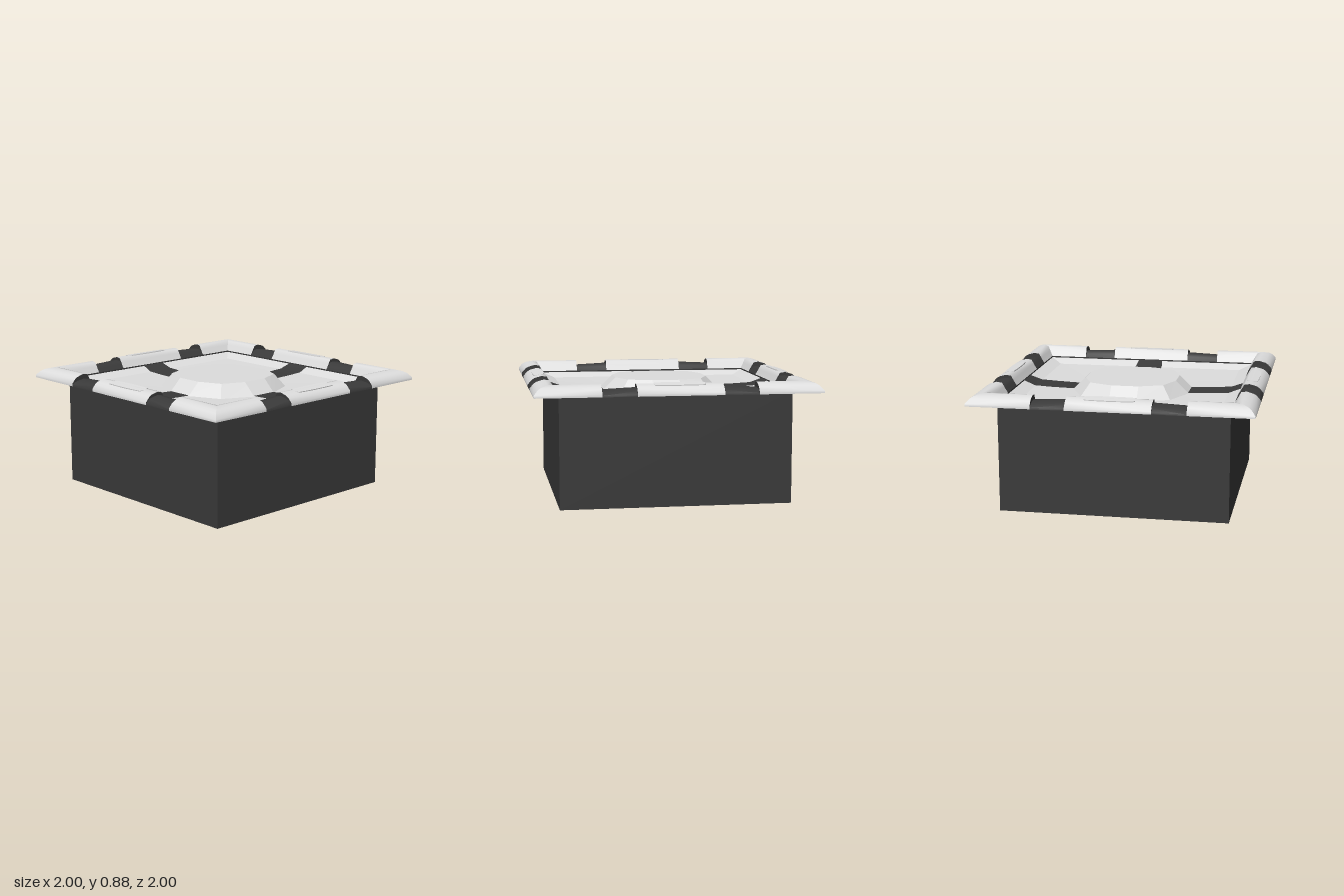
import * as THREE from 'three';
import { toCreasedNormals } from 'three/addons/utils/BufferGeometryUtils.js';

const light = new THREE.MeshStandardMaterial({ color: 0xdddddd, side: THREE.DoubleSide });
light.name = 'lightGrey';
const dark = new THREE.MeshStandardMaterial({ color: 0x3a3a3a, side: THREE.DoubleSide });
dark.name = 'charcoal';

const BASE = 0.8, WALL = 0.82;

// rim profile: [distance from centre, height above the wall top], outside to inside
const RIM = [[1, 0], [1, 0.018], [0.972, 0.05], [0.95, 0.064], [0.9, 0.078], [0.862, 0.072], [0.845, 0.042], [0.82, 0]];

// joins cross-sections of equal length into a skin; cap closes the last one
function skin(sections, { cap = false, crease = 0.9 } = {}) {
  const n = sections[0].length, last = (sections.length - 1) * n, idx = [];
  for (let s = 0; s < sections.length - 1; s++) {
    for (let i = 0; i < n - 1; i++) {
      const a = s * n + i;
      idx.push(a, a + n, a + 1, a + 1, a + n, a + n + 1);
    }
  }
  if (cap) for (let i = 1; i < n - 1; i++) idx.push(last, last + i, last + i + 1);
  const g = new THREE.BufferGeometry();
  g.setAttribute('position', new THREE.Float32BufferAttribute(sections.flat(2), 3));
  g.setIndex(idx);
  return toCreasedNormals(g, crease);
}

// rim section at a position along the side; a corner section is mitred
const rimSection = (along, scale = 1) => RIM.map(([d, h]) => [along, BASE + h * scale, d]);
const mitre = sign => RIM.map(([d, h]) => [sign * d, BASE + h, d]);

// horizontal twelve-point ring: side points at (a, ±b), corner points at (c, c)
function ring(a, b, c, y) {
  const points = [];
  for (let q = 0; q < 4; q++) {
    const cos = [1, 0, -1, 0][q], sin = [0, 1, 0, -1][q];
    for (const [x, z] of [[a, -b], [a, b], [c, c]]) points.push([x * cos - z * sin, y, x * sin + z * cos]);
  }
  return [...points, points[0]];
}

function add(parent, name, geometry, material) {
  const mesh = new THREE.Mesh(geometry, material);
  mesh.name = name;
  parent.add(mesh);
}

function buildSide() {
  const side = new THREE.Group();
  add(side, 'rimMiddle', skin([rimSection(-0.3), rimSection(0.3)]), light);
  for (const s of [-1, 1]) {
    add(side, 'rimCorner', skin([rimSection(s * 0.54), mitre(s)]), light);
    // lower dark link with end walls stepping up to the light pieces
    add(side, 'rimStrap', skin([
      rimSection(s * 0.3), rimSection(s * 0.3, 0.7), rimSection(s * 0.54, 0.55), rimSection(s * 0.54),
    ]), dark);
  }

  // slim grip with bowed edges, leaning with the top of the rim
  const grip = new THREE.Shape();
  grip.moveTo(-0.17, -0.035);
  grip.quadraticCurveTo(0, -0.048, 0.17, -0.035);
  grip.quadraticCurveTo(0.19, 0, 0.17, 0.037);
  grip.quadraticCurveTo(0, 0.047, -0.17, 0.037);
  grip.quadraticCurveTo(-0.19, 0, -0.17, -0.035);
  const plate = new THREE.ExtrudeGeometry(grip, { depth: 0.008, bevelEnabled: false, curveSegments: 6 });
  plate.rotateX(Math.PI / 2 + 0.14);
  plate.translate(0, BASE + 0.076, 0.91);
  add(side, 'grip', plate, light);

  // thin arm lying on the tray from the centre cap to the wall
  const arm = [[0.42, 0.1, 0.749], [0.6, 0.105, 0.755], [0.73, 0.105, 0.762], [0.818, 0.095, 0.795]];
  add(side, 'crossArm', skin(arm.map(([z, w, y]) => [[-w, y, z], [w, y, z]])), dark);
  return side;
}

export function createModel() {
  const model = new THREE.Group();
  model.name = 'squareHatch';

  // open square curb
  const walls = new THREE.CylinderGeometry(WALL * Math.SQRT2, WALL * Math.SQRT2, BASE, 4, 1, true);
  walls.rotateY(Math.PI / 4);
  walls.translate(0, BASE / 2, 0);
  add(model, 'curbWalls', toCreasedNormals(walls, 0.3), dark);

  // sagging tray: sloped border, then a shallow fall to the centre cap
  const capFoot = ring(0.435, 0.1, 0.33, 0.745);
  add(model, 'tray', skin([
    ring(WALL, 0.19, WALL, 0.79), ring(0.73, 0.168, 0.73, 0.757), capFoot,
  ], { crease: 0.2 }), light);

  // twelve-sided raised cap, hollow underneath
  add(model, 'centreCap', skin([capFoot, ring(0.34, 0.1, 0.27, 0.838)], { cap: true, crease: 0.1 }), light);

  // four matching sides
  for (let i = 0; i < 4; i++) {
    const side = buildSide();
    side.name = ['frontSide', 'leftSide', 'backSide', 'rightSide'][i];
    side.rotation.y = i * Math.PI / 2;
    model.add(side);
  }
  return model;
}
